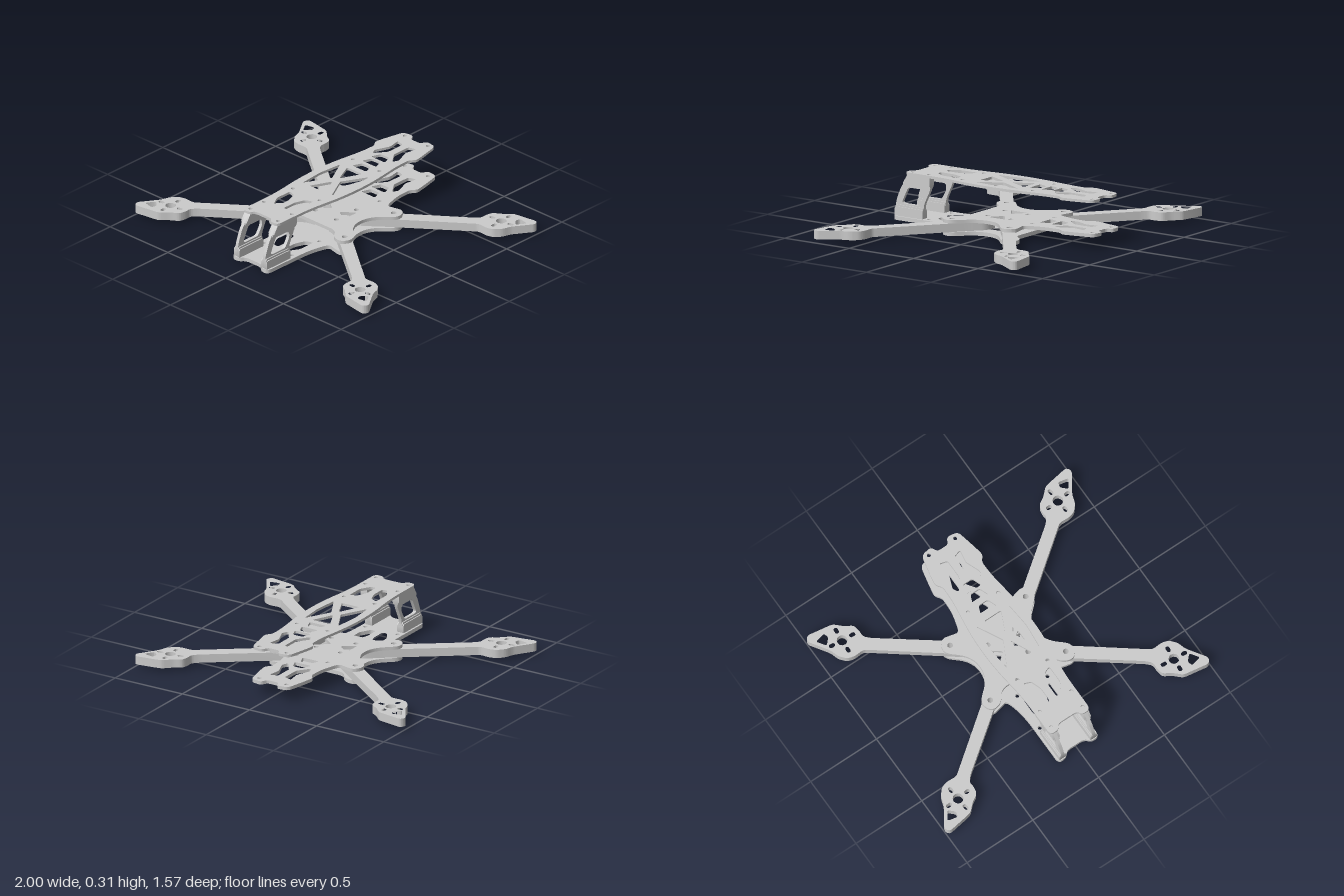
import * as THREE from 'three';
import { toCreasedNormals } from 'three/addons/utils/BufferGeometryUtils.js';

const material = new THREE.MeshStandardMaterial({ color: 0xcccccc });

// Closed polygon with rounded corners; each point is [x, y, cornerRadius]
function rounded(points, radius, Type = THREE.Path) {
  const path = new Type();
  const n = points.length;
  points.forEach((p, i) => {
    const c = new THREE.Vector2(p[0], p[1]);
    const toward = (q) => {
      const d = new THREE.Vector2(q[0], q[1]).sub(c);
      return c.clone().add(d.setLength(Math.min(p[2] ?? radius, d.length() * 0.48)));
    };
    const a = toward(points[(i + n - 1) % n]);
    const b = toward(points[(i + 1) % n]);
    if (i === 0) path.moveTo(a.x, a.y);
    else path.lineTo(a.x, a.y);
    path.quadraticCurveTo(c.x, c.y, b.x, b.y);
  });
  path.closePath();
  return path;
}

const circle = (x, y, r) => new THREE.Path().absarc(x, y, r, 0, Math.PI * 2);

function mesh(name, geometry) {
  const m = new THREE.Mesh(toCreasedNormals(geometry, 0.6), material);
  m.name = name;
  return m;
}

// Horizontal sheet from [x, z] points, with polygon cutouts and [x, z, r] drill holes
function sheet(name, outline, cutouts, drills, y0, y1, radius = 0.02) {
  const flip = (pts) => pts.map(([x, z, r]) => [x, -z, r]);
  const shape = rounded(flip(outline), radius, THREE.Shape);
  cutouts.forEach((c) => shape.holes.push(rounded(flip(c), 0.015)));
  drills.forEach(([x, z, r]) => shape.holes.push(circle(x, -z, r)));
  const g = new THREE.ExtrudeGeometry(shape, { depth: y1 - y0, bevelEnabled: false, curveSegments: 6 });
  g.rotateX(-Math.PI / 2).translate(0, y0, 0);
  return mesh(name, g);
}

// Mirroring helpers
const scale = (pts, sx, sz) => pts.map(([x, z, r]) => [x * sx, z * sz, r]);
const symmetric = (half) => [...half, ...scale(half, -1, 1).reverse().filter((p) => p[0] !== 0)];
const bothSides = (list) => list.flatMap((c) => [c, scale(c, -1, 1)]);
const pairs = (list) => list.flatMap(([x, z, r]) => [[x, z, r], [-x, z, r]]);
const quads = (list) => pairs(list.flatMap(([x, z, r]) => [[x, z, r], [x, -z, r]]));

// Half outlines shared by the plates
const tail = [
  [0.15, -0.4, 0.06], [0.148, -0.51], [0.18, -0.55], [0.168, -0.62],
  [0.137, -0.765, 0.03], [0.06, -0.775], [0.04, -0.73], [0, -0.73],
];
const lobes = [
  [0.235, -0.272, 0.04], [0.315, -0.29, 0.06], [0.355, -0.205, 0.06], [0.213, -0.08, 0.1],
  [0.213, 0.08, 0.1], [0.355, 0.205, 0.06], [0.315, 0.29, 0.06], [0.235, 0.272, 0.04],
];

// Cutouts, one side each
const rearCut = [[0.025, -0.63], [0.08, -0.645], [0.065, -0.56], [0.105, -0.46], [0.085, -0.42], [0.025, -0.5]];
const frontCut = [[0.1, 0.31], [0.05, 0.33], [0.025, 0.4], [0.025, 0.5], [0.06, 0.5], [0.1, 0.43]];
const trapezoid = (z) => [[-0.035, z - 0.035], [0.035, z - 0.035], [0.06, z + 0.03], [-0.06, z + 0.03]];
const sideTriangle = [[0.12, -0.065], [0.12, 0.065], [0.035, 0]];
const hourglass = [[-0.065, -0.17], [0.065, -0.17], [0, -0.03]];

function arm(sx, sz) {
  const outline = [
    [0.055, 0.05], [0.15, 0.05, 0.04], [0.25, 0.135, 0.03],
    [0.745, 0.512], [0.815, 0.508], [0.86, 0.52], [0.9, 0.565], [0.917, 0.623],
    [1.005, 0.755], [0.985, 0.79], [0.81, 0.762], [0.757, 0.71], [0.705, 0.68],
    [0.695, 0.63], [0.7, 0.59], [0.665, 0.552], [0.12, 0.143], [0.055, 0.13],
  ];
  const big = [[0.96, 0.725], [0.89, 0.74], [0.88, 0.705], [0.92, 0.665]];
  const cutouts = [big];
  // Four motor screw slots around the shaft hole
  for (let i = 0; i < 4; i++) {
    const a = 0.08 + (i * Math.PI) / 2;
    const u = [Math.cos(a), Math.sin(a)];
    cutouts.push([[-1, -1], [1, -1], [1, 1], [-1, 1]].map(([p, q]) => [
      0.82 + u[0] * (0.073 + p * 0.02) - u[1] * q * 0.013,
      0.64 + u[1] * (0.073 + p * 0.02) + u[0] * q * 0.013,
    ]));
  }
  const drills = [[0.82, 0.64, 0.034], [0.287, 0.222, 0.018], [0.09, 0.09, 0.016]];
  return sheet('arm', scale(outline, sx, sz), cutouts.map((c) => scale(c, sx, sz)),
    scale(drills, sx, sz), 0.025, 0.08);
}

// Upright slab from [z, y] points, centred on x
function slab(name, points, holes, x, thickness) {
  const shape = rounded(points, 0.015, THREE.Shape);
  holes.forEach((h) => shape.holes.push(rounded(h, 0.018)));
  const g = new THREE.ExtrudeGeometry(shape, { depth: thickness, bevelEnabled: false, curveSegments: 5 });
  g.rotateY(-Math.PI / 2).translate(x + thickness / 2, 0, 0);
  return mesh(name, g);
}

function cameraMount(x) {
  const group = new THREE.Group();
  group.name = 'cameraMount';
  const wall = [
    [0.775, 0.025], [0.775, 0.11, 0.03], [0.74, 0.2], [0.675, 0.3], [0.505, 0.3],
    [0.505, 0.225, 0.03], [0.56, 0.11, 0.03], [0.56, 0.025],
  ];
  const opening = [[0.727, 0.115], [0.68, 0.213], [0.56, 0.213], [0.557, 0.17], [0.595, 0.106], [0.715, 0.106]];
  group.add(slab('mountWall', wall, [opening], x, 0.022));
  // Thickened ends, stepped in towards the wall
  [[0.05, 0], [0.036, 0.012]].forEach(([t, grow]) => {
    group.add(slab('mountTop',
      [[0.675, 0.3, 0.004], [0.715 + grow * 0.6, 0.237 - grow], [0.505, 0.237 - grow], [0.505, 0.3, 0.004]], [], x, t));
    group.add(slab('mountFoot',
      [[0.775, 0.025, 0.004], [0.775, 0.083 + grow], [0.56, 0.083 + grow], [0.56, 0.025, 0.004]], [], x, t));
  });
  return group;
}

export function createModel() {
  const model = new THREE.Group();
  model.name = 'quadcopterFrame';

  const frameDrills = quads([[0.287, 0.222, 0.018], [0.09, 0.09, 0.016]]);
  const mountDrills = pairs([[0.12, 0.65, 0.013], [0.12, 0.525, 0.013]]);
  const tailDrills = pairs([[0.1, -0.728, 0.013], [0.115, -0.275, 0.013]]);

  // Bottom plate reaching forward under the camera
  const bottom = symmetric([
    [0, -0.2], [0.19, -0.2, 0.05], ...lobes, [0.19, 0.26, 0.05], [0.155, 0.4, 0.1],
    [0.155, 0.782, 0.04], [0.095, 0.78], [0.065, 0.745, 0.04], [0, 0.745],
  ]);
  model.add(sheet('bottomPlate', bottom, bothSides([sideTriangle, frontCut]),
    [...frameDrills, ...mountDrills, ...pairs([[0.115, 0.27, 0.013]])], 0, 0.025));

  // Middle plate reaching back
  const middle = symmetric([
    [0, 0.2], [0.19, 0.2, 0.05], ...scale(lobes, 1, -1), [0.19, -0.26, 0.05], ...tail,
  ]);
  model.add(sheet('middlePlate', middle,
    [...bothSides([rearCut, sideTriangle]), trapezoid(-0.41), trapezoid(-0.32)],
    [...frameDrills, ...tailDrills], 0.08, 0.102));

  // Four arms clamped between the plates
  for (const sx of [1, -1]) for (const sz of [1, -1]) model.add(arm(sx, sz));

  // Camera mounts on both sides
  for (const sx of [1, -1]) model.add(cameraMount(sx * 0.118));

  // Top plate
  const top = symmetric([
    [0, 0.655], [0.07, 0.655, 0.03], [0.09, 0.688], [0.152, 0.69, 0.04], [0.152, 0.4, 0.1],
    [0.188, 0.12, 0.12], [0.188, -0.12, 0.12], ...scale(tail, 1, 0.985),
  ]);
  const topSide = [[0.125, -0.17], [0.14, 0], [0.125, 0.17], [0.035, 0]];
  model.add(sheet('topPlate', top,
    [...bothSides([rearCut, topSide, frontCut]), hourglass, scale(hourglass, 1, -1),
      trapezoid(-0.41), trapezoid(-0.33), trapezoid(-0.24)],
    [...mountDrills, ...tailDrills, ...pairs([[0.115, 0.27, 0.013]])], 0.298, 0.315));

  return model;
}
